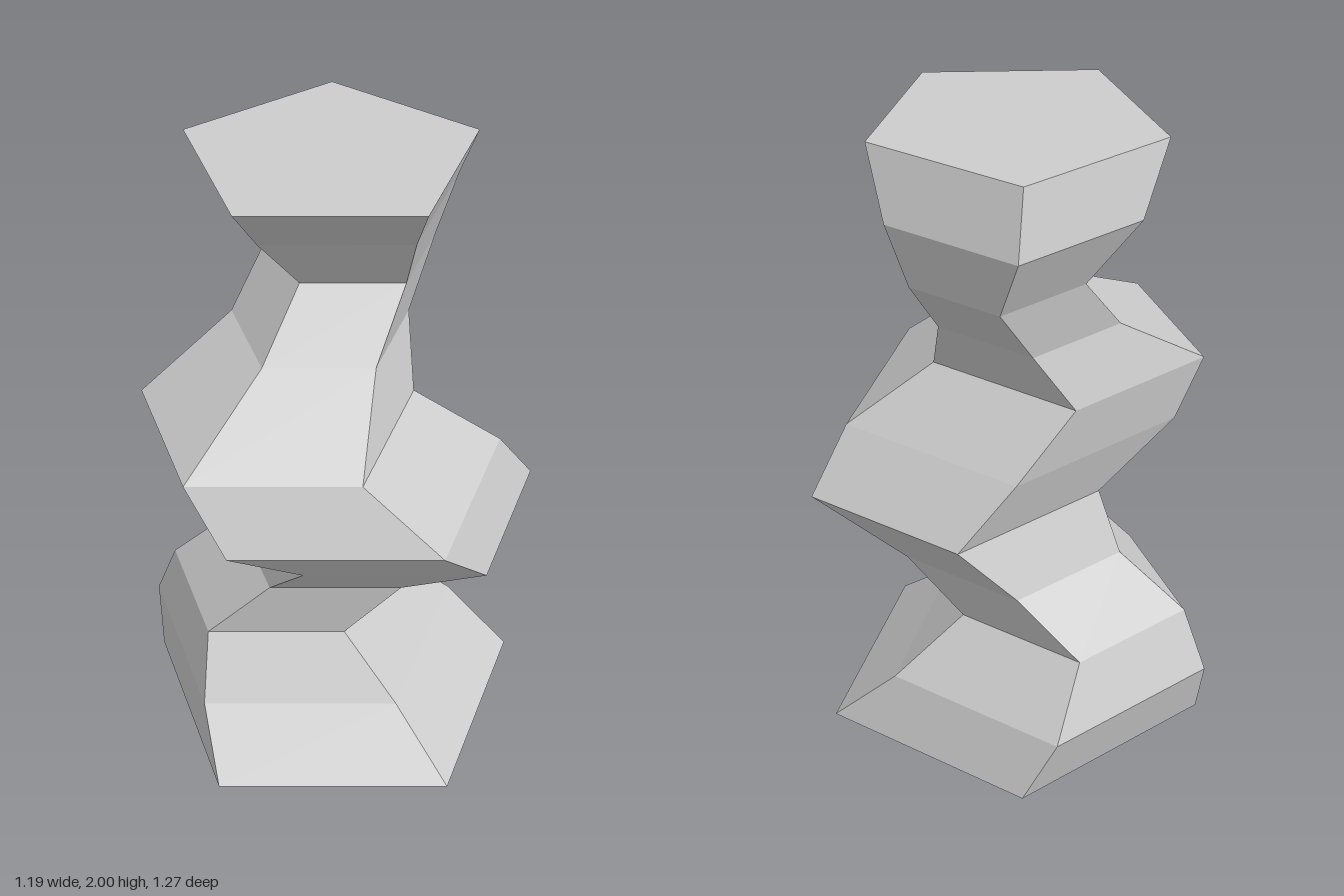
import * as THREE from 'three';

// Rings from bottom to top, 0.2 apart: [centre x, centre z, radius]
const RINGS = [
  [-0.044, -0.02, 0.619],
  [-0.116, -0.14, 0.521],
  [-0.189, -0.16, 0.369],
  [-0.02, -0.067, 0.35],
  [0.124, 0.07, 0.468],
  [-0.08, 0.13, 0.534],
  [-0.248, 0.07, 0.435],
  [-0.068, -0.066, 0.283],
  [0.067, -0.161, 0.265],
  [0.014, -0.146, 0.381],
  [-0.043, -0.023, 0.448],
];

export function createModel() {
  const group = new THREE.Group();
  group.name = 'windingColumn';
  const paleGrey = new THREE.MeshStandardMaterial({ color: 0xcccccc });
  paleGrey.name = 'paleGrey';

  // Five-sided prism with one corner towards +x
  const steps = RINGS.length - 1;
  const prism = new THREE.CylinderGeometry(1, 1, 2, 5, steps, false, Math.PI / 2);
  prism.translate(0, 1, 0);

  // Scale and shift each ring
  const pos = prism.attributes.position;
  for (let i = 0; i < pos.count; i++) {
    const y = pos.getY(i);
    const [cx, cz, r] = RINGS[Math.round((y / 2) * steps)];
    pos.setXYZ(i, cx + pos.getX(i) * r, y, cz + pos.getZ(i) * r);
  }

  // Flat facets
  const faceted = prism.toNonIndexed();
  faceted.computeVertexNormals();
  const column = new THREE.Mesh(faceted, paleGrey);
  column.name = 'column';
  group.add(column);
  return group;
}
